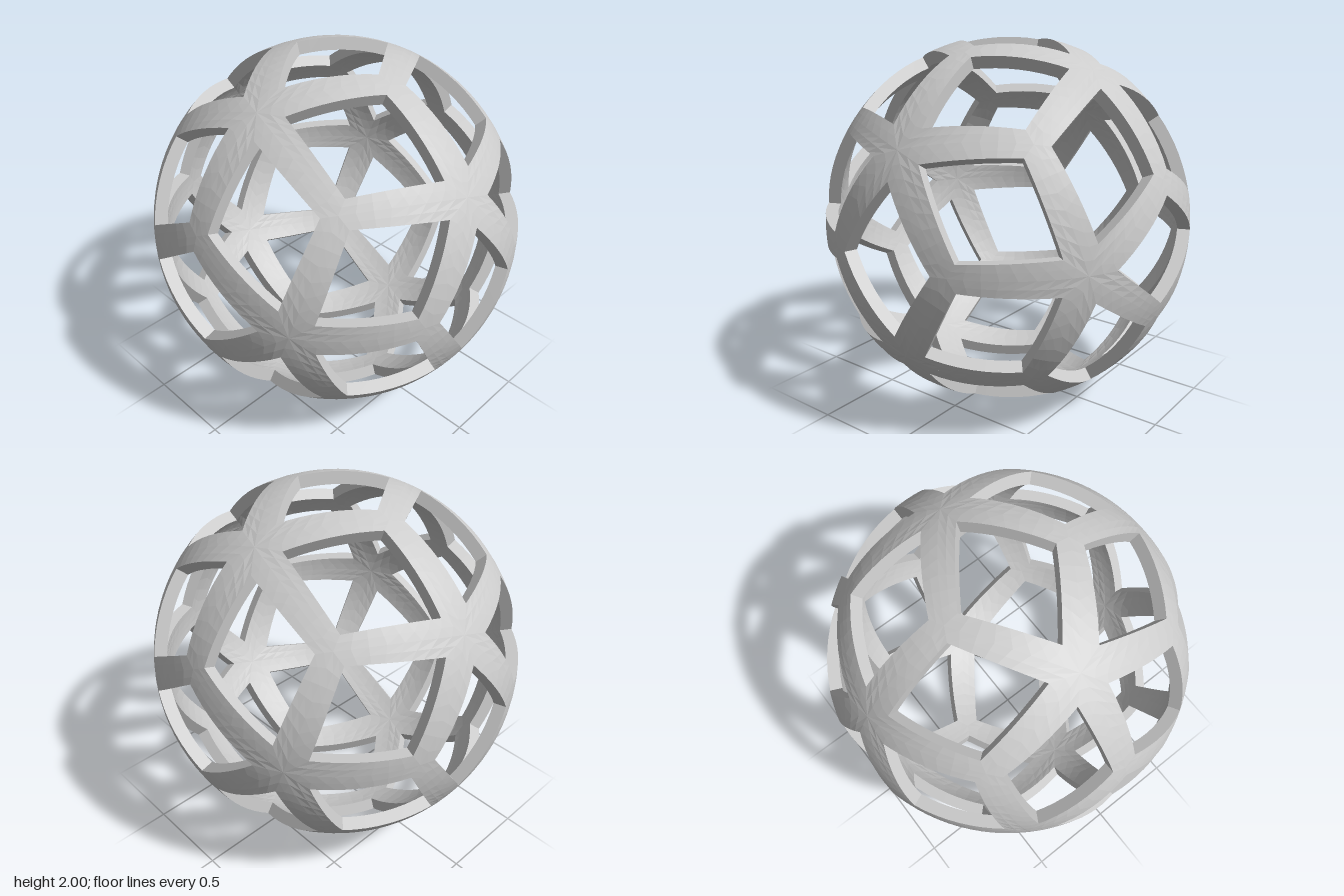
import * as THREE from 'three';

const PHI = (1 + Math.sqrt(5)) / 2;
const OUTER = 1.0286, INNER = 0.96;   // shell radii
const ALONG = 8;                      // segments along each strut

// The three cyclic permutations of (a, b, c) with every sign choice, normalised
function signedCycles(a, b, c) {
  const list = [];
  for (const [x, y, z] of [[a, b, c], [b, c, a], [c, a, b]])
    for (const sx of x ? [1, -1] : [1])
      for (const sy of y ? [1, -1] : [1])
        for (const sz of z ? [1, -1] : [1])
          list.push(new THREE.Vector3(x * sx, y * sy, z * sz).normalize());
  return list;
}

// Corners of a spherical rhombus round +z, counter-clockwise, from its two half angles
function rhombus(longAngle, shortAngle) {
  return [[longAngle, 0], [shortAngle, 1], [longAngle, 2], [shortAngle, 3]].map(([t, k]) =>
    new THREE.Vector3(
      Math.sin(t) * Math.cos(k * Math.PI / 2),
      Math.sin(t) * Math.sin(k * Math.PI / 2),
      Math.cos(t)));
}

// One curved rhombic panel with a rhombic opening, facing +z
function panelGeometry() {
  const longHalf = Math.atan(1 / PHI), shortHalf = Math.atan(1 / (PHI * PHI));
  const rim = rhombus(longHalf, shortHalf);
  const hole = rhombus(longHalf * 0.723, shortHalf * 0.78);
  // section: [fraction from rim to opening, radius] over the outside, wall and inside
  const section = [[0, OUTER], [0.5, OUTER], [1, OUTER], [1, INNER], [0.5, INNER], [0, INNER]];
  const arc = (p, q, t) => p.clone().lerp(q, t).normalize();
  const positions = [];
  for (let side = 0; side < 4; side++) {
    const next = (side + 1) % 4;
    const point = (i, [v, r]) => arc(
      arc(rim[side], rim[next], i / ALONG),
      arc(hole[side], hole[next], i / ALONG), v).multiplyScalar(r);
    for (let i = 0; i < ALONG; i++)
      for (let j = 0; j < section.length - 1; j++) {
        const a = point(i, section[j]), b = point(i + 1, section[j]);
        const c = point(i + 1, section[j + 1]), d = point(i, section[j + 1]);
        for (const p of [a, b, c, a, c, d]) positions.push(p.x, p.y, p.z);
      }
  }
  const geometry = new THREE.BufferGeometry();
  geometry.setAttribute('position', new THREE.Float32BufferAttribute(positions, 3));
  geometry.computeVertexNormals();
  return geometry;
}

export function createModel() {
  const model = new THREE.Group();
  model.name = 'latticeSphere';
  const material = new THREE.MeshStandardMaterial({ color: 0xcccccc, flatShading: true });
  const geometry = panelGeometry();

  // Thirty panel centres, and the five-way joints at the ends of their long diagonals
  const centres = [...signedCycles(0, 0, 1), ...signedCycles(0.5, 1 / (2 * PHI), PHI / 2)];
  // the second family must match the joints' handedness
  const joints = signedCycles(1, 0, PHI);
  const shortAxisFits = c => joints.filter(j => j.dot(c) > 0.84).length === 2;
  const facing = centres.every(shortAxisFits)
    ? centres
    : [...signedCycles(0, 0, 1), ...signedCycles(1 / (2 * PHI), 0.5, PHI / 2)];

  for (const normal of facing) {
    const [p, q] = joints.filter(j => j.dot(normal) > 0.84);
    const xAxis = p.clone().sub(q).normalize();
    const yAxis = normal.clone().cross(xAxis);
    const panel = new THREE.Mesh(geometry, material);
    panel.name = 'rhombicPanel';
    panel.quaternion.setFromRotationMatrix(new THREE.Matrix4().makeBasis(xAxis, yAxis, normal));
    panel.position.y = 1;
    model.add(panel);
  }
  return model;
}
